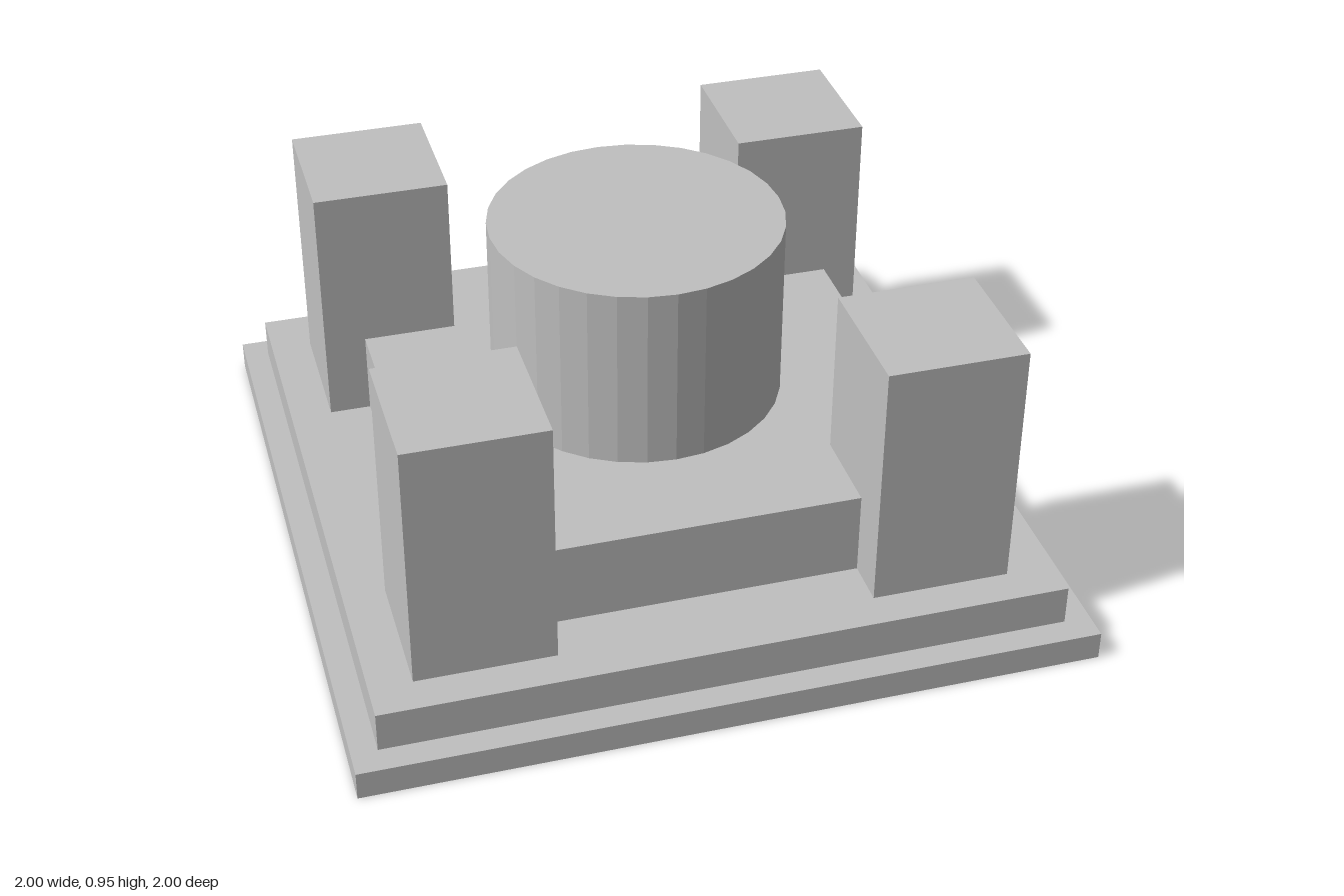
import * as THREE from 'three';

export function createModel() {
  const model = new THREE.Group();
  model.name = 'steppedPlatform';
  const grey = new THREE.MeshStandardMaterial({ color: 0xc0c0c0 });
  grey.name = 'light grey';
  grey.flatShading = true;

  // Adds a part standing on height y, centred on (x, z)
  const add = (name, geometry, height, x, y, z) => {
    const mesh = new THREE.Mesh(geometry, grey);
    mesh.name = name;
    mesh.position.set(x, y + height / 2, z);
    model.add(mesh);
  };
  const block = (name, width, height, x, y, z) =>
    add(name, new THREE.BoxGeometry(width, height, width), height, x, y, z);

  // Stepped base
  block('baseSlab', 2, 0.08, 0, 0, 0);
  block('upperStep', 1.857, 0.113, -0.002, 0.08, -0.002);
  block('centralPlinth', 1.396, 0.235, -0.002, 0.193, -0.002);

  // Round drum
  add('drum', new THREE.CylinderGeometry(0.404, 0.404, 0.522, 32), 0.522, -0.002, 0.428, -0.002);

  // Corner pillars, slightly uneven in placement
  const pillars = [
    ['frontRightPillar', -0.627, 0.637],
    ['frontLeftPillar', 0.605, 0.637],
    ['backRightPillar', -0.627, -0.588],
    ['backLeftPillar', 0.605, -0.597],
  ];
  for (const [name, x, z] of pillars) block(name, 0.377, 0.705, x, 0.193, z);

  return model;
}
